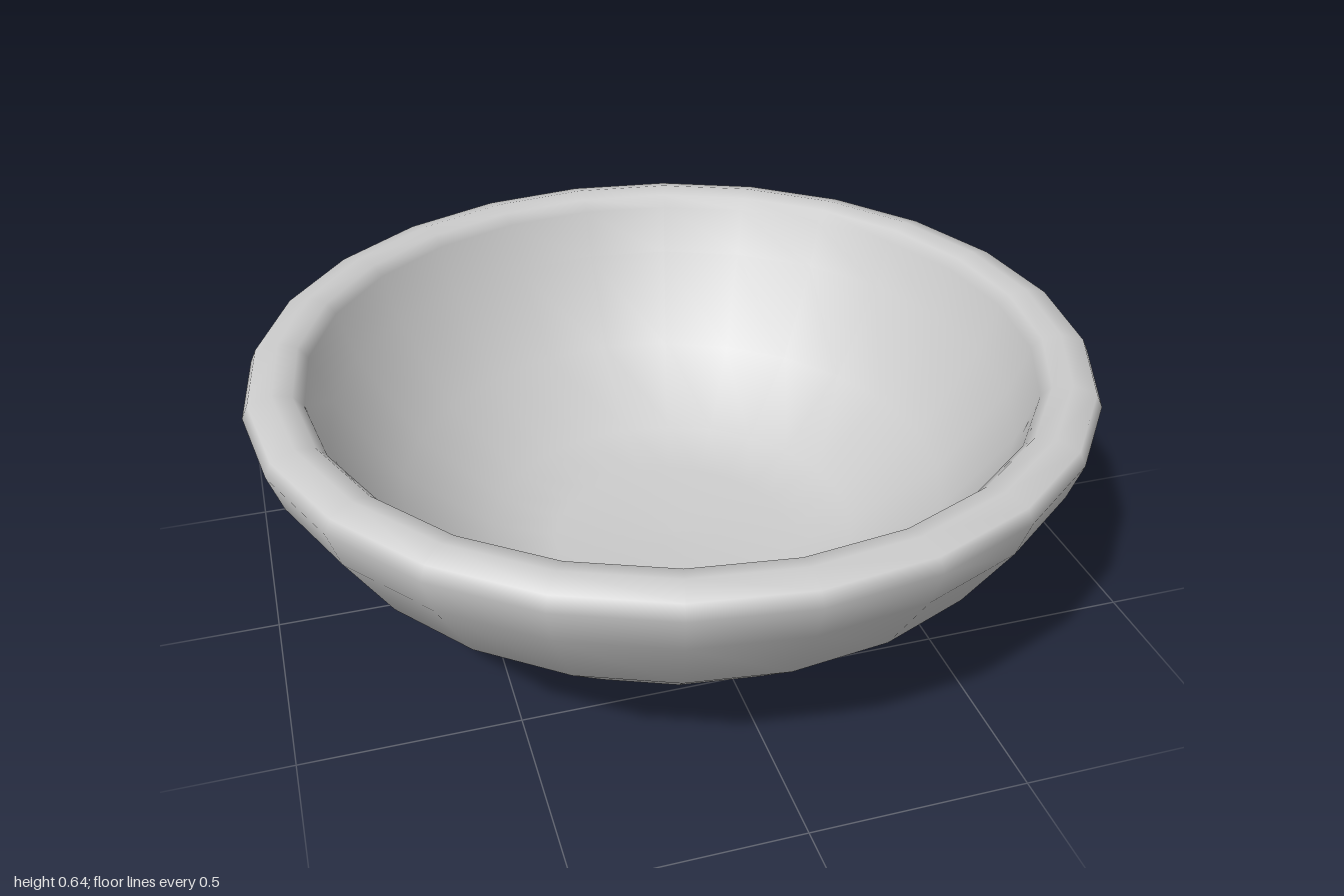
import * as THREE from 'three';

const SIDES = 24;

export function createModel() {
  const bowl = new THREE.Group();
  bowl.name = 'bowl';
  const material = new THREE.MeshStandardMaterial({ color: 0xcccccc });

  // Revolve a [radius, height] profile around the y axis
  const addLathe = (name, profile) => {
    const points = profile.map(([r, y]) => new THREE.Vector2(r, y));
    const mesh = new THREE.Mesh(new THREE.LatheGeometry(points, SIDES), material);
    mesh.name = name;
    bowl.add(mesh);
  };

  // Flat underside, kept separate for a crisp edge
  addLathe('base', [[0, 0], [0.375, 0]]);

  // One smooth skin: outer wall, rounded rim, then the hollow down to the floor
  addLathe('bowlBody', [
    [0.375, 0], [0.42, 0.015], [0.65, 0.13], [0.86, 0.32], [0.97, 0.5],
    [1, 0.59], [0.985, 0.622], [0.93, 0.637], [0.885, 0.627], [0.862, 0.6],
    [0.82, 0.48], [0.67, 0.26], [0.46, 0.11], [0.3, 0.07], [0, 0.065],
  ]);

  return bowl;
}
